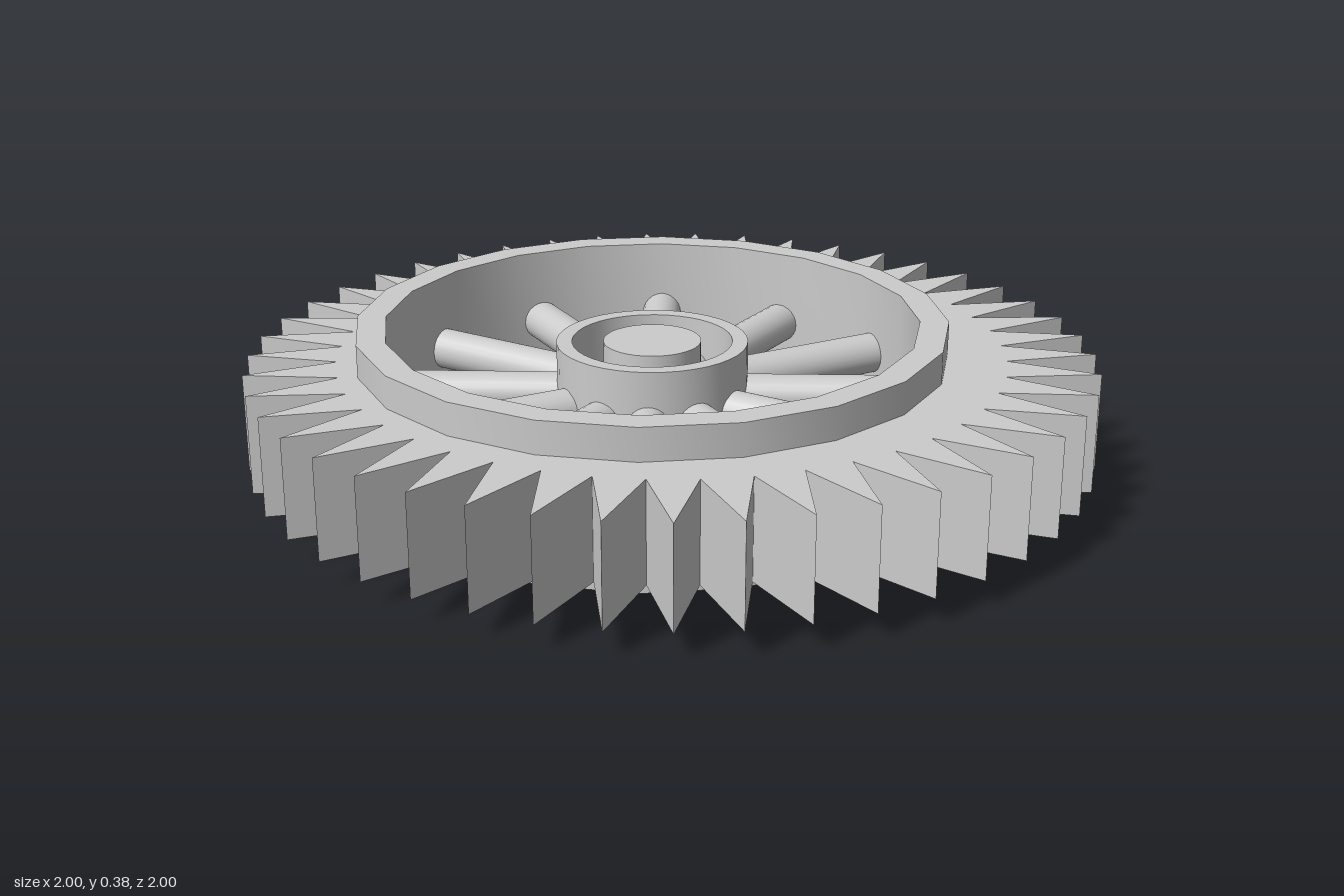
import * as THREE from 'three';
import { toCreasedNormals } from 'three/addons/utils/BufferGeometryUtils.js';

const material = new THREE.MeshStandardMaterial({ color: 0xcccccc });
const AXLE_X = -0.047; // the wheel sits slightly off the centre of the toothed rim
const MID_Y = 0.1875;

function part(name, geometry, parent) {
  const mesh = new THREE.Mesh(geometry, material);
  mesh.name = name;
  parent.add(mesh);
  return mesh;
}

// Ring with a rectangular section and sharp edges
function ringGeometry(inner, outer, height, sides) {
  const h = height / 2;
  const profile = [[outer, -h], [outer, h], [inner, h], [inner, -h], [outer, -h]]
    .map(([r, y]) => new THREE.Vector2(r, y));
  return toCreasedNormals(new THREE.LatheGeometry(profile, sides), 0.6);
}

// Flat toothed rim with a round opening for the wheel
function toothedRimGeometry(teeth, tip, root, bottom, top) {
  const points = [];
  for (let i = 0; i < teeth * 2; i++) {
    const a = (i * Math.PI) / teeth;
    const r = i % 2 ? root : tip;
    points.push(new THREE.Vector2(r * Math.cos(a), r * Math.sin(a)));
  }
  const shape = new THREE.Shape(points);
  shape.holes.push(new THREE.Path().absarc(AXLE_X, 0, 0.66, 0, Math.PI * 2, true));
  const geometry = new THREE.ExtrudeGeometry(shape, {
    depth: top - bottom, bevelEnabled: false, curveSegments: 20,
  });
  return geometry.rotateX(-Math.PI / 2).translate(0, bottom, 0);
}

export function createModel() {
  const model = new THREE.Group();
  model.name = 'gearWheel';
  part('toothedRim', toothedRimGeometry(45, 1, 0.785, 0.062, 0.298), model);

  const wheel = new THREE.Group();
  wheel.name = 'wheel';
  wheel.position.set(AXLE_X, MID_Y, 0);
  model.add(wheel);

  part('wheelRing', ringGeometry(0.63, 0.698, 0.375, 20), wheel);
  part('hubRing', ringGeometry(0.19, 0.227, 0.27, 40), wheel);
  part('hubCore', new THREE.CylinderGeometry(0.116, 0.116, 0.27, 40), wheel);

  // Twelve round spokes from the hub core to the wheel ring
  const inner = 0.06, outer = 0.64;
  const spoke = new THREE.CylinderGeometry(0.05, 0.05, outer - inner, 24)
    .rotateZ(-Math.PI / 2).translate((inner + outer) / 2, 0, 0);
  for (let i = 0; i < 12; i++) {
    part('spoke', spoke, wheel).rotation.y = (i * Math.PI) / 6;
  }
  return model;
}
